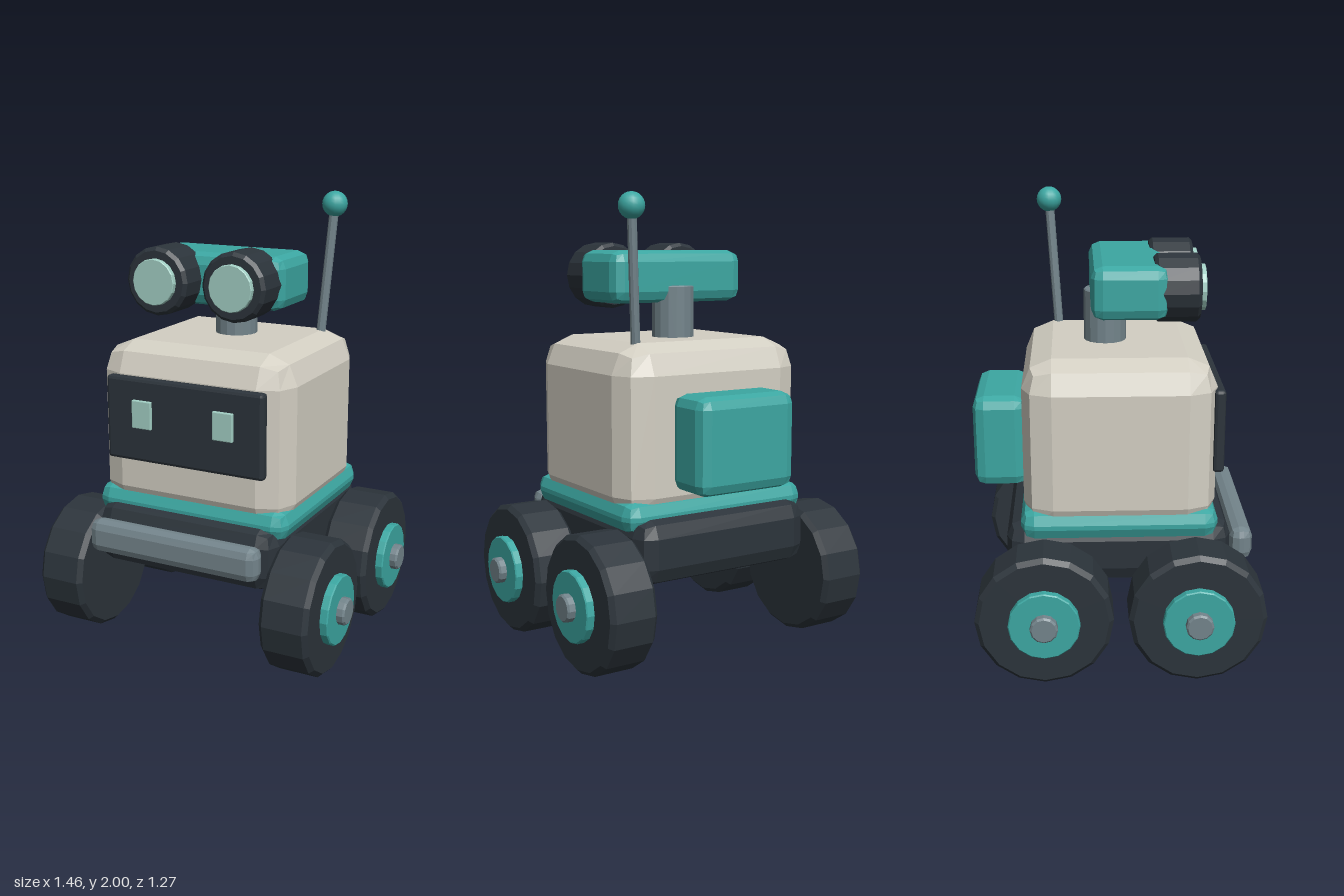
import * as THREE from 'three';
import { RoundedBoxGeometry } from 'three/addons/geometries/RoundedBoxGeometry.js';

export function createModel() {
  const model = new THREE.Group();
  model.name = 'rover';

  const material = (name, color) => {
    const m = new THREE.MeshStandardMaterial({ color });
    m.name = name;
    return m;
  };
  const cream = material('cream', 0xd3cfc3);
  const teal = material('teal', 0x3ca7a2);
  const dark = material('charcoal', 0x2c343b);
  const grey = material('steel', 0x73848b);
  const mint = material('mint', 0xa2cfc4);

  const add = (name, geometry, mat, [x, y, z], parent = model) => {
    const mesh = new THREE.Mesh(geometry, mat);
    mesh.name = name;
    mesh.position.set(x, y, z);
    parent.add(mesh);
    return mesh;
  };

  // Faceted normals
  const facet = (geometry) => {
    const g = geometry.index ? geometry.toNonIndexed() : geometry;
    g.computeVertexNormals();
    return g;
  };

  // Box with two bevel facets along each edge
  const block = (w, h, d, r) => facet(new RoundedBoxGeometry(w, h, d, 1, r));

  // Closed cylinder along y, centred, with bevelled rims
  const drum = (r, h, bevel, sides) => facet(new THREE.LatheGeometry([
    [0, -h / 2], [r - bevel, -h / 2], [r, -h / 2 + bevel],
    [r, h / 2 - bevel], [r - bevel, h / 2], [0, h / 2],
  ].map(([x, y]) => new THREE.Vector2(x, y)), sides));

  // Lower body
  add('chassis', block(0.88, 0.29, 0.985, 0.08), dark, [0, 0.51, 0.003]);
  add('deck', block(0.93, 0.14, 0.86, 0.06), teal, [0, 0.652, 0.005]);
  add('bumper', block(0.82, 0.15, 0.1, 0.04), grey, [0, 0.53, 0.545]);

  // Main body, screen and pack
  add('body', block(0.92, 0.775, 0.84, 0.13), cream, [0, 0.988, 0.008]);
  add('screen', block(0.76, 0.375, 0.05, 0.015), dark, [0, 1.053, 0.436]);
  add('backpack', block(0.49, 0.415, 0.235, 0.05), teal, [0, 0.963, -0.516]);

  // Head
  add('neck', drum(0.095, 0.28, 0.005, 16), grey, [0, 1.465, -0.045]);
  add('head', block(0.68, 0.23, 0.33, 0.05), teal, [0, 1.645, 0.053]);

  for (const side of [-1, 1]) {
    // Screen eyes
    add('screenEye', block(0.095, 0.125, 0.03, 0.004), mint, [side * 0.197, 1.083, 0.46]);

    // Binocular eyes
    const barrel = drum(0.148, 0.195, 0.015, 16).rotateX(Math.PI / 2);
    add('eyeBarrel', barrel, dark, [side * 0.183, 1.646, 0.257]);
    const lens = drum(0.1, 0.06, 0.003, 16).rotateX(Math.PI / 2);
    add('lens', lens, mint, [side * 0.183, 1.646, 0.348]);

    // Wheels
    for (const z of [0.334, -0.325]) {
      const wheel = new THREE.Group();
      wheel.name = 'wheel';
      wheel.position.set(side * 0.55, 0.303, z);
      const disc = (r, h, bevel, sides) => drum(r, h, bevel, sides).rotateZ(Math.PI / 2);
      add('tyre', disc(0.298, 0.22, 0.02, 16), dark, [0, 0, 0], wheel);
      add('hub', disc(0.154, 0.08, 0.005, 16), teal, [side * 0.105, 0, 0], wheel);
      add('axleCap', disc(0.06, 0.08, 0.008, 12), grey, [side * 0.14, 0, 0], wheel);
      model.add(wheel);
    }
  }

  // Antenna
  const foot = new THREE.Vector3(0.325, 1.35, -0.255);
  const tip = new THREE.Vector3(0.365, 1.944, -0.293);
  const dir = tip.clone().sub(foot);
  const middle = foot.clone().add(tip).multiplyScalar(0.5);
  const rod = add('antennaRod', facet(new THREE.CylinderGeometry(0.021, 0.021, dir.length(), 10)), grey, middle.toArray());
  rod.quaternion.setFromUnitVectors(new THREE.Vector3(0, 1, 0), dir.normalize());
  add('antennaBall', new THREE.SphereGeometry(0.057, 16, 12), teal, tip.toArray());

  return model;
}
